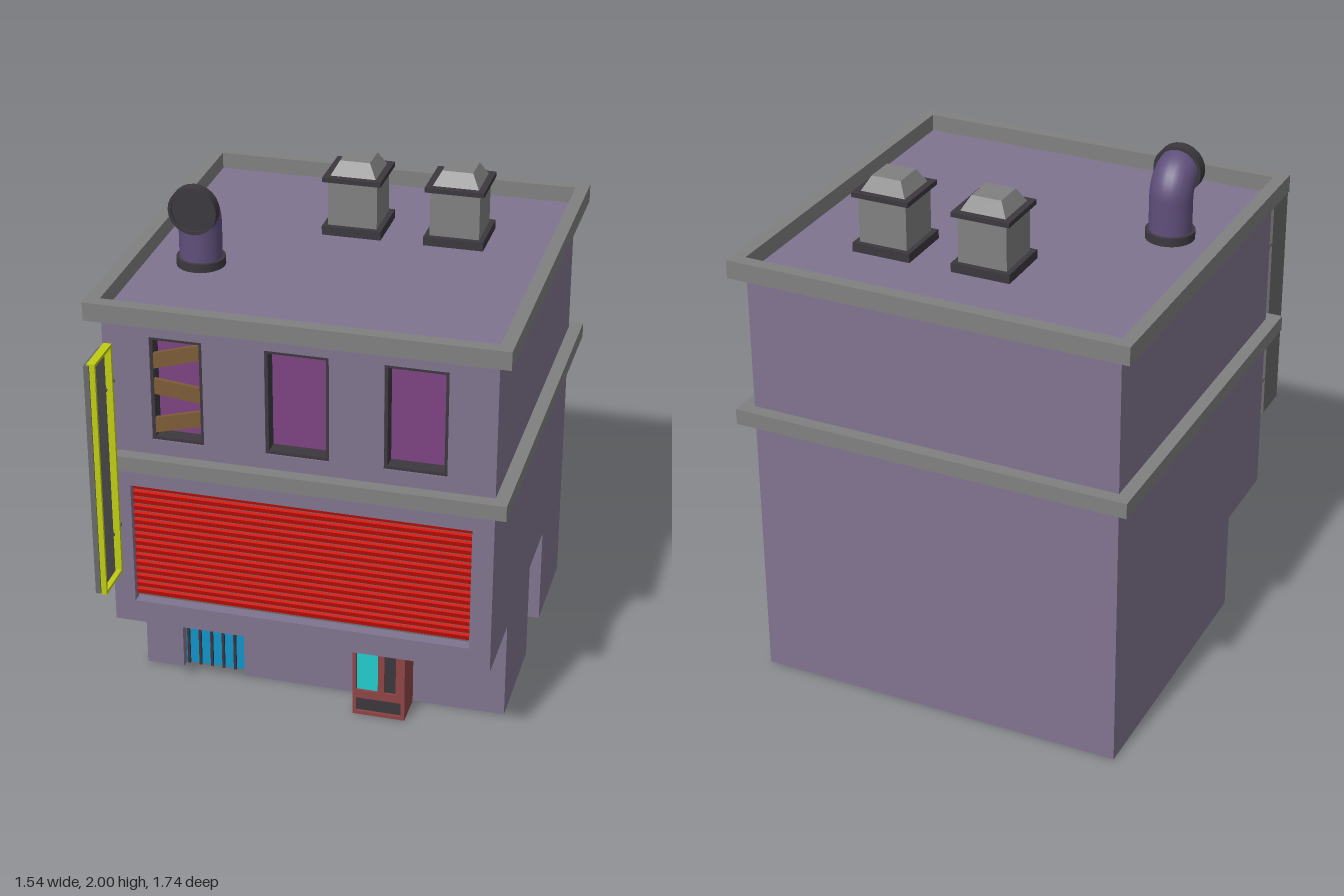
import * as THREE from 'three';

const mats = {};
const mat = (color) => (mats[color] ??= new THREE.MeshStandardMaterial({ color }));
const WALL = 0x80748f, STONE = 0x808080, DARK = 0x3c383e, METAL = 0x6a6a6a;
const PIPE = 0x5f4f7a, RED = 0xd01008, GLASS = 0x7d4482, WOOD = 0x7c5c38;
const BLUE = 0x1292c8, CASE = 0x8e4444, CYAN = 0x22cccc, LIME = 0xc0cc14, TEAL = 0x1c7878;

export function createModel() {
  const model = new THREE.Group();

  const add = (name, geo, color, parent = model) => {
    const m = new THREE.Mesh(geo, mat(color));
    m.name = name;
    parent.add(m);
    return m;
  };
  // Box given by its limits on each axis
  const box = (name, color, [x0, x1], [y0, y1], [z0, z1], parent = model) => {
    const m = add(name, new THREE.BoxGeometry(x1 - x0, y1 - y0, z1 - z0), color, parent);
    m.position.set((x0 + x1) / 2, (y0 + y1) / 2, (z0 + z1) / 2);
    return m;
  };
  const rect = (Kind, [x0, x1], [y0, y1]) => new Kind(
    [[x0, y0], [x1, y0], [x1, y1], [x0, y1]].map(([x, y]) => new THREE.Vector2(x, y)));
  // Upright plate in the xy plane with rectangular openings
  const plate = (name, color, xs, ys, [z0, z1], holes, parent = model) => {
    const s = rect(THREE.Shape, xs, ys);
    holes.forEach(([hx, hy]) => s.holes.push(rect(THREE.Path, hx, hy)));
    const m = add(name, new THREE.ExtrudeGeometry(s, { depth: z1 - z0, bevelEnabled: false }), color, parent);
    m.position.z = z0;
    return m;
  };
  // Floor plan shape (x, -z) raised from y0 to y1
  const raise = (name, color, shape, y0, y1) => {
    const g = new THREE.ExtrudeGeometry(shape, { depth: y1 - y0, bevelEnabled: false });
    const m = add(name, g.rotateX(-Math.PI / 2), color);
    m.position.y = y0;
    return m;
  };

  // Ground floor: main block with a side door niche, and the passage behind the front door
  const plan = [[-0.32, -0.3], [0.72, -0.3], [0.72, 0.14], [0.59, 0.14], [0.59, 0.41],
    [0.72, 0.41], [0.72, 0.82], [-0.32, 0.82]];
  raise('groundFloor', WALL, new THREE.Shape(plan.map(([x, y]) => new THREE.Vector2(x, y))), 0, 0.4);
  box('groundFloorSide', WALL, [-0.72, -0.57], [0, 0.4], [-0.82, 0.3]);
  box('passageBackWall', WALL, [-0.57, -0.32], [0, 0.4], [-0.82, -0.81]);

  // Upper floors and facade with openings
  const windows = [[-0.545, -0.35], [-0.12, 0.115], [0.315, 0.545]];
  const winY = [1.19, 1.6], shutX = [-0.64, 0.64], shutY = [0.49, 0.985];
  box('upperFloors', WALL, [-0.72, 0.72], [0.4, 1.665], [-0.82, 0.55]);
  plate('facade', WALL, [-0.72, 0.72], [0.4, 1.665], [0.55, 0.62],
    [[shutX, shutY], ...windows.map((w) => [w, winY])]);

  // Cornice and roof parapet
  box('cornice', STONE, [-0.77, 0.77], [1.07, 1.13], [-0.87, 0.67]);
  const ring = rect(THREE.Shape, [-0.77, 0.77], [-0.67, 0.87]);
  ring.holes.push(rect(THREE.Path, [-0.72, 0.72], [-0.62, 0.82]));
  raise('parapet', STONE, ring, 1.66, 1.73);

  // Windows with dark frames
  windows.forEach(([a, b]) => {
    const g = new THREE.Group();
    g.name = 'window';
    model.add(g);
    plate('windowFrame', DARK, [a, b], winY, [0.55, 0.615],
      [[[a + 0.012, b - 0.012], [winY[0] + 0.012, winY[1] - 0.012]]], g);
    box('windowPane', GLASS, [a, b], winY, [0.54, 0.56], g);
  });

  // Boards nailed over the first window
  [[1.53, 0.3], [1.395, -0.1], [1.27, 0.27]].forEach(([y, slope]) => {
    const g = new THREE.BoxGeometry(0.195, 0.06, 0.015);
    const p = g.attributes.position;
    for (let i = 0; i < p.count; i++) p.setY(i, p.getY(i) + p.getX(i) * slope);
    g.computeVertexNormals();
    add('windowBoard', g, WOOD).position.set(-0.4475, y, 0.607);
  });

  // Slatted red shutter
  box('shutterBack', METAL, shutX, shutY, [0.54, 0.575]);
  const slats = 16;
  for (let i = 0; i < slats; i++) {
    const s = add('shutterSlat', new THREE.BoxGeometry(1.28, 0.021, 0.012), RED);
    s.position.set(0, 0.52 + i * 0.45 / (slats - 1), 0.59);
    s.rotation.x = 0.3;
  }

  // Front door with bars
  box('frontDoor', BLUE, [-0.57, -0.32], [0, 0.4], [0.23, 0.26]);
  for (let i = 0; i < 6; i++) {
    const x = -0.563 + i * 0.0475;
    box('doorBar', DARK, [x, x + 0.01], [0, 0.4], [0.262, 0.272]);
  }
  box('doorCrossBar', DARK, [-0.57, -0.32], [0.197, 0.207], [0.26, 0.27]);

  // Side door in its niche
  box('sideDoor', STONE, [0.58, 0.62], [0.01, 0.395], [-0.4, -0.15]);
  const frame = plate('sideDoorFrame', DARK, [0.14, 0.41], [0, 0.4], [0, 0.045],
    [[[0.152, 0.398], [0.01, 0.388]]]);
  frame.rotation.y = Math.PI / 2;
  frame.position.set(0.585, 0, 0);

  // Vending machine
  const vend = new THREE.Group();
  vend.name = 'vendingMachine';
  model.add(vend);
  const panels = [['display', CYAN, [0.17, 0.255], [0.11, 0.31]],
    ['controls', DARK, [0.28, 0.325], [0.11, 0.31]], ['tray', DARK, [0.17, 0.345], [0.015, 0.075]]];
  box('vendingBody', CASE, [0.155, 0.36], [0, 0.328], [0.3, 0.42], vend);
  plate('vendingFront', CASE, [0.155, 0.36], [0, 0.328], [0.42, 0.44],
    panels.map(([, , xs, ys]) => [xs, ys]), vend);
  panels.forEach(([n, c, xs, ys]) => box(n, c, xs, ys, [0.415, 0.43], vend));

  // Lamps under the overhang
  [-0.465, 0.14].forEach((x) => {
    box('lampBase', DARK, [x - 0.14, x + 0.14], [0.392, 0.4], [0.492, 0.542]);
    const tube = add('lampTube', new THREE.CapsuleGeometry(0.02, 0.235, 4, 10), TEAL);
    tube.rotation.z = Math.PI / 2;
    tube.scale.set(0.45, 1, 1);
    tube.position.set(x, 0.394, 0.517);
  });

  // Projecting sign on two brackets
  plate('signFrame', LIME, [-0.875, -0.7], [0.655, 1.59], [-0.015, 0.015],
    [[[-0.863, -0.712], [0.667, 1.578]]]).rotation.y = Math.PI / 2;
  model.children.at(-1).position.x = -0.69;
  box('signPanel', METAL, [-0.7, -0.68], [0.66, 1.585], [0.71, 0.865]);
  [0.815, 1.41].forEach((y) => {
    const b = add('signBracket', new THREE.CylinderGeometry(0.011, 0.011, 0.1, 10), METAL);
    b.rotation.x = Math.PI / 2;
    b.position.set(-0.69, y, 0.66);
  });

  // Roof vents
  [-0.04, 0.355].forEach((x) => {
    const g = new THREE.Group();
    g.name = 'roofVent';
    g.position.set(x, 0, -0.385);
    model.add(g);
    const slab = (n, c, r, y0, y1) => box(n, c, [-r, r], [y0, y1], [-r, r], g);
    slab('ventBase', DARK, 0.115, 1.66, 1.7);
    slab('ventBody', STONE, 0.095, 1.7, 1.88);
    slab('ventRim', DARK, 0.113, 1.878, 1.897);
    const cap = new THREE.CylinderGeometry(0.058 * Math.SQRT2, 0.088 * Math.SQRT2, 0.053, 4).toNonIndexed();
    cap.rotateY(Math.PI / 4).computeVertexNormals();
    add('ventCap', cap, STONE, g).position.y = 1.9235;
  });

  // Bent exhaust pipe
  const pipe = new THREE.Group();
  pipe.name = 'exhaustPipe';
  pipe.position.set(-0.515, 0, 0.1);
  model.add(pipe);
  add('pipeCollar', new THREE.CylinderGeometry(0.092, 0.092, 0.035, 24), DARK, pipe).position.y = 1.68;
  add('pipeStem', new THREE.CylinderGeometry(0.08, 0.08, 0.16, 24), PIPE, pipe).position.y = 1.745;
  const elbow = add('pipeElbow', new THREE.TorusGeometry(0.082, 0.08, 24, 16, Math.PI / 2), PIPE, pipe);
  elbow.rotation.y = Math.PI / 2;
  elbow.position.set(0, 1.825, 0.082);
  const rim = [[0.08, 0], [0.092, 0], [0.092, 0.045], [0.08, 0.045], [0.08, 0]];
  const profile = rim.flatMap(([r, y]) => [new THREE.Vector2(r, y), new THREE.Vector2(r, y)]);
  const mouth = add('pipeRim', new THREE.LatheGeometry(profile, 24), DARK, pipe);
  mouth.rotation.x = Math.PI / 2;
  mouth.position.set(0, 1.907, 0.048);
  const disc = add('pipeOpening', new THREE.CircleGeometry(0.082, 24), DARK, pipe);
  disc.position.set(0, 1.907, 0.084);

  return model;
}
